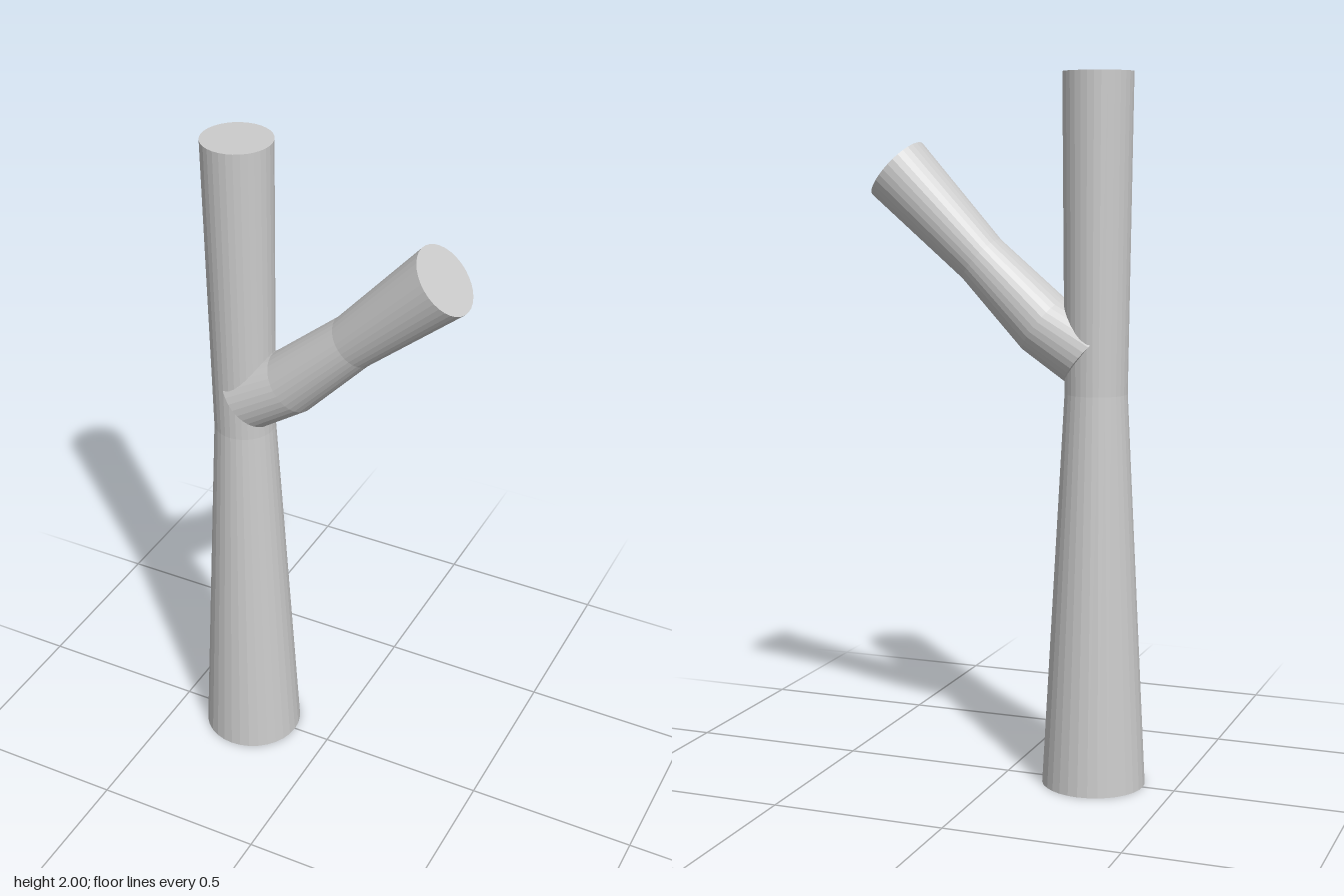
import * as THREE from 'three';

const SIDES = 32;

// Capped limb through rings [x, y, radius, lean]; lean is the axis angle from +x, in degrees
function limb(name, rings, z) {
  const pos = [], index = [];
  for (const [x, y, r, lean] of rings) {
    const t = THREE.MathUtils.degToRad(lean);
    for (let i = 0; i < SIDES; i++) {
      const a = (i / SIDES) * Math.PI * 2;
      const u = r * Math.cos(a);
      pos.push(x + u * Math.sin(t), y - u * Math.cos(t), z + r * Math.sin(a));
    }
  }
  // Side walls
  for (let k = 0; k < rings.length - 1; k++) {
    for (let i = 0; i < SIDES; i++) {
      const j = (i + 1) % SIDES;
      const a = k * SIDES + i, b = k * SIDES + j;
      index.push(a, a + SIDES, b, b, a + SIDES, b + SIDES);
    }
  }
  // End caps
  const last = (rings.length - 1) * SIDES;
  for (let i = 1; i < SIDES - 1; i++) {
    index.push(0, i, i + 1);
    index.push(last, last + i + 1, last + i);
  }
  const indexed = new THREE.BufferGeometry();
  indexed.setAttribute('position', new THREE.Float32BufferAttribute(pos, 3));
  indexed.setIndex(index);
  const geometry = indexed.toNonIndexed();
  geometry.computeVertexNormals();
  const material = new THREE.MeshStandardMaterial({ color: 0xcccccc, flatShading: true });
  const mesh = new THREE.Mesh(geometry, material);
  mesh.name = name;
  return mesh;
}

export function createModel() {
  const group = new THREE.Group();
  group.name = 'forkedTrunk';

  // Upright trunk, narrowest just below the fork
  group.add(limb('trunk', [
    [-0.261, 0, 0.147, 90],
    [-0.261, 1.12, 0.088, 90],
    [-0.261, 2, 0.098, 90],
  ], 0));

  // Side branch, pinched at the middle
  group.add(limb('branch', [
    [-0.241, 1.228, 0.103, 41],
    [-0.107, 1.307, 0.093, 38.5],
    [0.08, 1.485, 0.077, 42],
    [0.337, 1.735, 0.102, 42],
  ], 0.003));

  return group;
}
